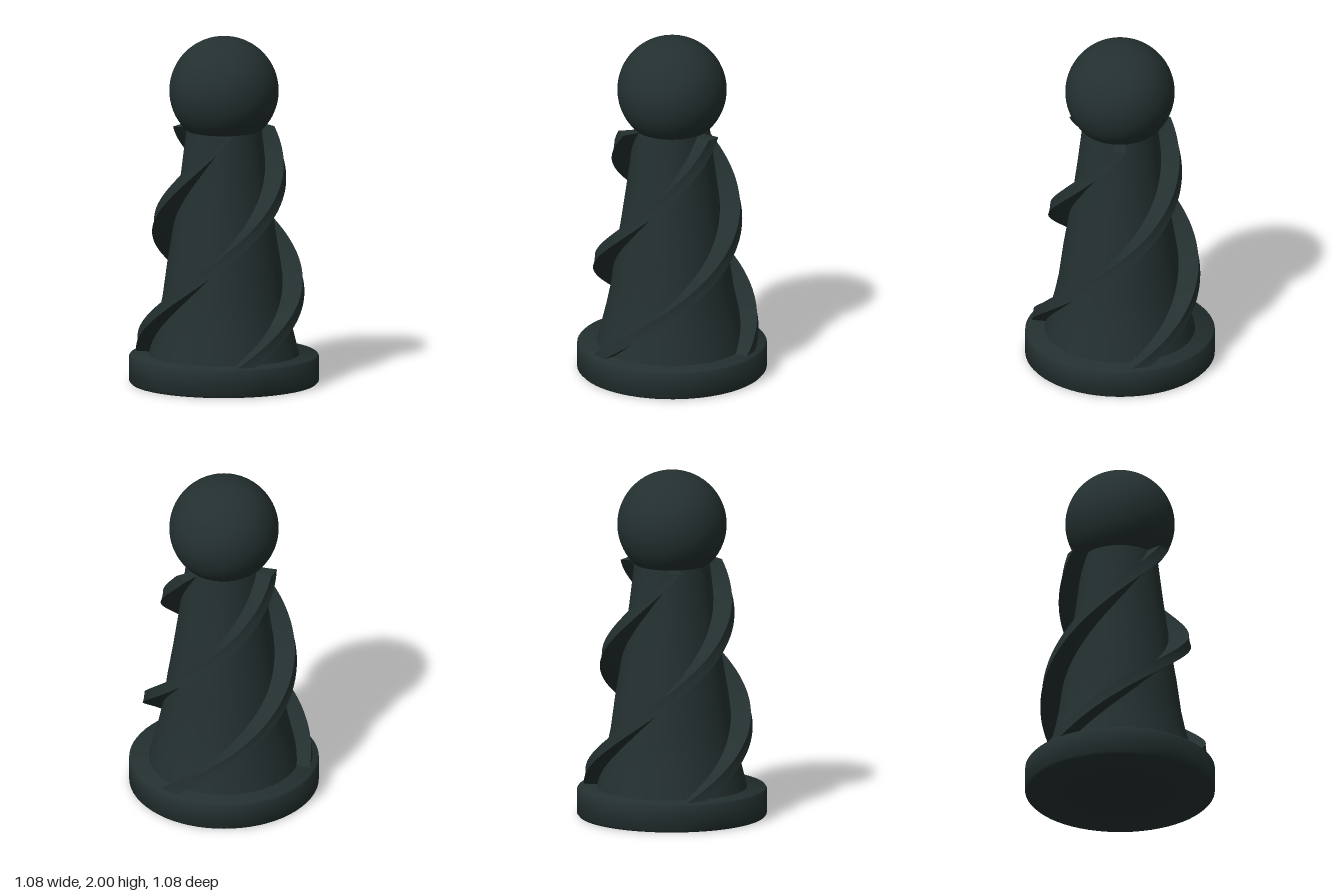
import * as THREE from 'three';
import { toCreasedNormals } from 'three/addons/utils/BufferGeometryUtils.js';

const BOTTOM = 0.16, TOP = 1.46;

// Four-cornered rib section swept up the cone along a helix
function ribGeometry(startAngle) {
  const steps = 80, pos = [], idx = [];
  for (let i = 0; i <= steps; i++) {
    const t = i / steps, y = BOTTOM + (TOP - BOTTOM) * t;
    const angle = startAngle - t * THREE.MathUtils.degToRad(227);
    const inner = 0.36 - 0.2 * t;
    const outer = 0.507 - 0.195 * t + 0.012 * Math.sin(Math.PI * t);
    const half = 0.053 - 0.01 * t;
    for (const [r, side] of [[inner, -1], [outer, -1], [outer, 1], [inner, 1]]) {
      const a = angle + side * half / outer;
      pos.push(r * Math.cos(a), y, r * Math.sin(a));
    }
  }
  for (let i = 0; i < steps; i++) {
    for (let k = 0; k < 4; k++) {
      const a = i * 4 + k, b = i * 4 + (k + 1) % 4;
      idx.push(a, a + 4, b, b, a + 4, b + 4);
    }
  }
  const e = steps * 4;
  idx.push(0, 1, 2, 0, 2, 3, e, e + 2, e + 1, e, e + 3, e + 2);
  const g = new THREE.BufferGeometry();
  g.setAttribute('position', new THREE.Float32BufferAttribute(pos, 3));
  g.setIndex(idx);
  return toCreasedNormals(g, 0.6);
}

function lathe(points, crease) {
  const g = new THREE.LatheGeometry(points.map(([r, y]) => new THREE.Vector2(r, y)), 64);
  return toCreasedNormals(g, crease);
}

export function createModel() {
  const group = new THREE.Group();
  const dark = new THREE.MeshStandardMaterial({ color: 0x243030 });
  dark.name = 'dark slate';
  const add = (name, geometry) => {
    const mesh = new THREE.Mesh(geometry, dark);
    mesh.name = name;
    group.add(mesh);
    return mesh;
  };

  // Round foot with softened rims
  add('base', lathe([[0, 0], [0.53, 0], [0.541, 0.012], [0.541, 0.155], [0.533, 0.165], [0, 0.165]], 0.9));

  // Tapering body, flared at the foot
  add('body', lathe([[0.43, 0.16], [0.4, 0.28], [0.373, 0.39], [0.35, 0.5], [0.323, 0.7],
    [0.293, 0.88], [0.265, 1.07], [0.243, 1.23], [0.215, TOP], [0, TOP]], 0.6));

  // Three spiral ribs
  for (let i = 0; i < 3; i++) {
    add('spiralRib' + (i + 1), ribGeometry(THREE.MathUtils.degToRad(98 + 120 * i)));
  }

  // Ball on top
  add('head', new THREE.SphereGeometry(0.312, 64, 40)).position.y = 1.688;

  return group;
}
